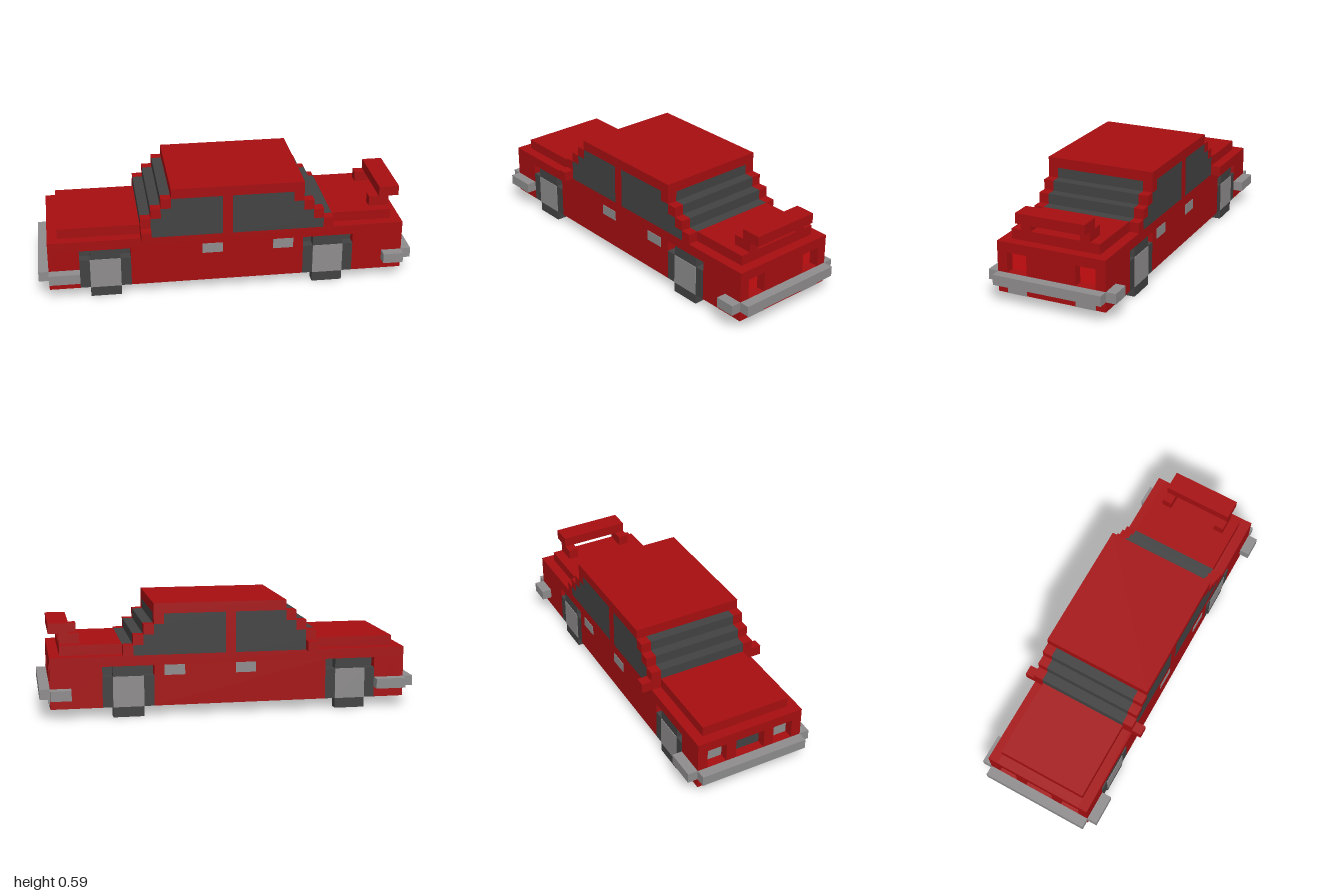
import * as THREE from 'three';

const U = 2 / 37; // one block of the grid

export function createModel() {
  const mat = (name, color) => {
    const m = new THREE.MeshStandardMaterial({ color });
    m.name = name;
    return m;
  };
  const red = mat('body red', 0xa60e10);
  const dark = mat('dark grey', 0x424242);
  const grey = mat('light grey', 0x8e8c8c);
  const lamp = mat('lamp red', 0xcd0e10);

  const car = new THREE.Group();
  car.name = 'car';

  // Box between grid lines: x 0..37, y 0..11, z 0..13
  function box(name, material, x0, x1, y0, y1, z0, z1, parent = car) {
    const geo = new THREE.BoxGeometry((x1 - x0) * U, (y1 - y0) * U, (z1 - z0) * U);
    const mesh = new THREE.Mesh(geo, material);
    mesh.name = name;
    mesh.position.set(((x0 + x1) / 2 - 18.5) * U, ((y0 + y1) / 2) * U, ((z0 + z1) / 2 - 6.5) * U);
    parent.add(mesh);
  }
  // Same box on both sides of the car
  function pair(name, material, x0, x1, y0, y1, z0, z1, parent = car) {
    box(name, material, x0, x1, y0, y1, z0, z1, parent);
    box(name, material, x0, x1, y0, y1, 13 - z1, 13 - z0, parent);
  }
  const T = 0.06; // thickness of painted plates, in blocks

  // Lower body: core, and side skins with wheel arches left open
  box('bodyCore', red, 2, 35, 1, 6, 2, 11);
  pair('bodySideTop', red, 1, 36, 5, 6, 1, 2);
  for (const [a, b] of [[2, 4], [9, 26], [31, 35]]) pair('bodySide', red, a, b, 1, 5, 1, 2);

  // End panels, with recesses for the lights and grille
  for (const [x, openings] of [[1, [[2, 4], [5, 8], [9, 11]]], [35, [[2, 4], [9, 11]]]]) {
    box('endPanelLower', red, x, x + 1, 1, 3, 1, 12);
    box('endPanelUpper', red, x, x + 1, 5, 6, 2, 11);
    let z = 1;
    for (const [a, b] of [...openings, [12, 12]]) {
      box('endPanelPost', red, x, x + 1, 3, 5, z, a);
      z = b;
    }
  }
  pair('headlight', grey, 2 - T, 2, 3, 5, 2, 4);
  box('grille', dark, 2 - T, 2, 3, 5, 5, 8);
  pair('tailLight', lamp, 35, 35 + T, 3, 5, 2, 4);
  pair('rearLowerPlate', grey, 36, 36 + T, 1, 2, 2, 4);

  // Bumpers wrapping round the corners
  box('frontBumper', grey, 0, 1, 2, 3, 1, 12);
  pair('frontBumperSide', grey, 1, 4, 2, 3, 0, 1);
  box('rearBumper', grey, 36, 37, 2, 3, 1, 12);
  pair('rearBumperSide', grey, 34, 36, 2, 3, 0, 1);

  // Hood, trunk, mirrors and door handles
  box('hood', red, 2, 10, 6, 7, 2, 11);
  box('trunk', red, 29, 35, 6, 7, 2, 11);
  pair('mirror', red, 10, 11, 6, 7, 0, 1);
  for (const x of [16, 23]) pair('doorHandle', grey, x, x + 2, 4, 5, 1 - T, 1);

  // Cabin in stepped rows: glass inside, pillars and windows outside
  const cabin = new THREE.Group();
  cabin.name = 'cabin';
  car.add(cabin);
  for (const [y, a, b] of [[6, 10, 29], [7, 10, 28], [8, 11, 27], [9, 12, 26]]) {
    box('windscreens', dark, a, b, y, y + 1, 2, 11, cabin);
    pair('frontPillar', red, a, a + 1, y, y + 1, 1, 2, cabin);
    pair('frontWindow', dark, a + 1, 18, y, y + 1, 1, 2, cabin);
    pair('middlePillar', red, 18, 19, y, y + 1, 1, 2, cabin);
    pair('rearWindow', dark, 19, b - 1, y, y + 1, 1, 2, cabin);
    pair('rearPillar', red, b - 1, b, y, y + 1, 1, 2, cabin);
  }
  box('roof', red, 13, 26, 10, 11, 1, 12, cabin);

  // Spoiler
  pair('spoilerSupport', red, 33, 35, 7, 8, 3, 4);
  box('spoilerWing', red, 34, 36, 8, 9, 3, 10);

  // Wheels: sidewall, upper tread, hub, dark arch lining and ground contact
  for (const x of [4, 26]) {
    pair('tyre', dark, x, x + 5, 1, 4, 1, 2);
    pair('tyreTop', dark, x + 1, x + 4, 4, 5, 1, 2);
    pair('tyreBottom', dark, x + 1, x + 4, 0, 1, 1, 2);
    pair('hub', grey, x + 1, x + 4, 1, 4, 1 - T, 1);
    pair('archLining', dark, x, x + 5, 4, 5, 2 - T, 2);
  }
  box('tyreBottomInner', dark, 5, 8, 0, 1, 10, 11);

  return car;
}
